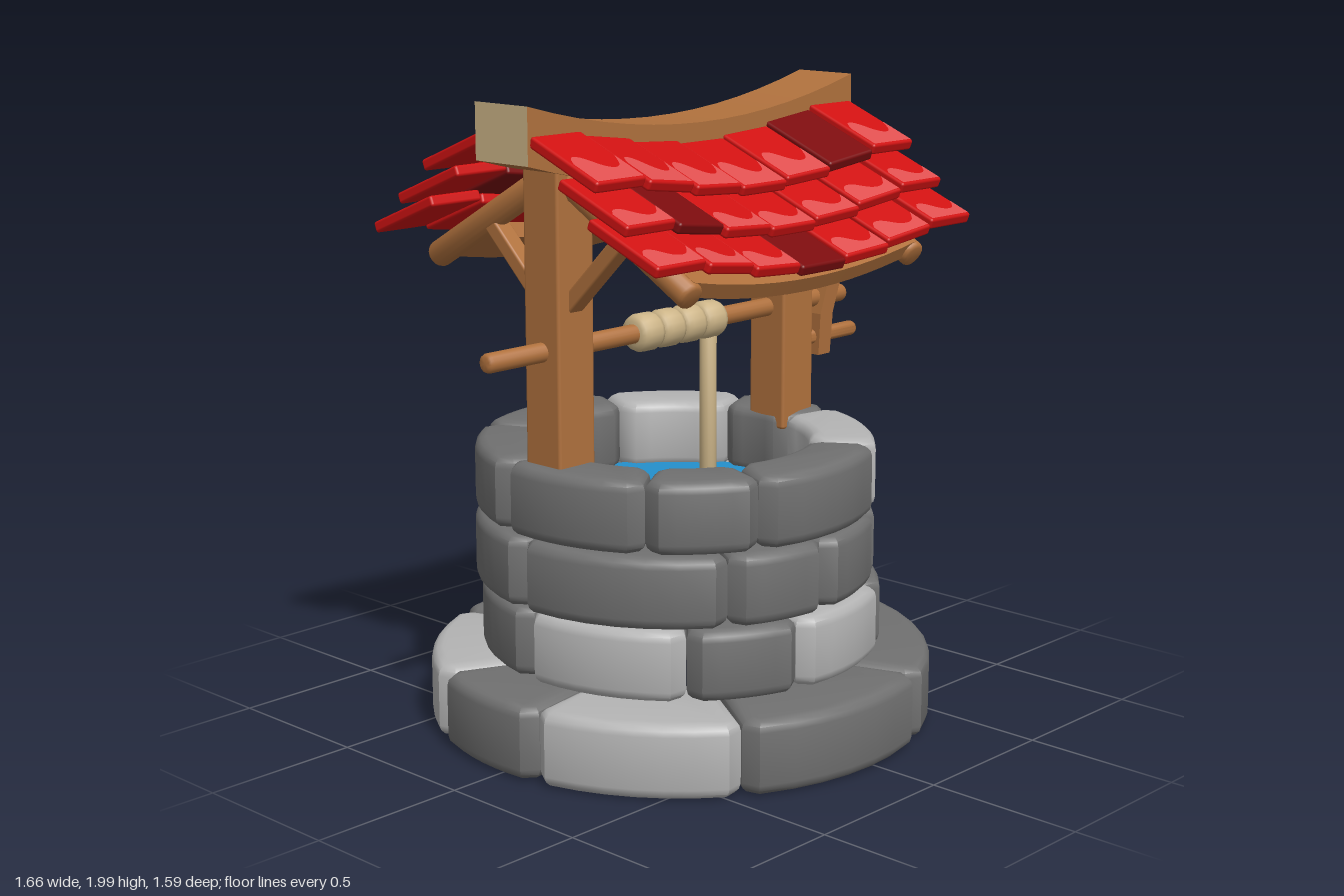
import * as THREE from 'three';
import { toCreasedNormals } from 'three/addons/utils/BufferGeometryUtils.js';
import { RoundedBoxGeometry } from 'three/addons/geometries/RoundedBoxGeometry.js';

const CX = -0.033, CZ = -0.02;

function material(name, color) {
  const m = new THREE.MeshStandardMaterial({ color });
  m.name = name;
  return m;
}
const M = {
  stone: material('darkStone', 0x707070),
  pale: material('paleStone', 0xb4b4b4),
  wood: material('wood', 0xb0713d),
  rope: material('rope', 0xcdb588),
  red: material('redTile', 0xd01212),
  pink: material('faded red', 0xe05050),
  dark: material('darkRedTile', 0x7c0c0e),
  water: material('water', 0x2490cc),
};

function add(parent, name, geo, mat, x = 0, y = 0, z = 0) {
  const mesh = new THREE.Mesh(geo, mat);
  mesh.name = name;
  mesh.position.set(x, y, z);
  parent.add(mesh);
  return mesh;
}

// Rounded-edge stone filling a ring sector; angles in degrees, 0 = front, 90 = +x
function stoneGeometry(a, b, ri, ro, h) {
  const bevel = 0.035, rad = Math.PI / 180;
  const R = ro - bevel, r = ri + bevel;
  const at = (rr, t) => new THREE.Vector2(rr * Math.sin(t), -rr * Math.cos(t));
  const A = a * rad, B = b * rad, pts = [], n = 6;
  const gapO = (bevel + 0.002) / R, gapI = (bevel + 0.002) / r, round = 0.02;
  for (let i = 0; i <= n; i++) {
    pts.push(at(R, THREE.MathUtils.lerp(A + gapO + round / R, B - gapO - round / R, i / n)));
  }
  pts.push(at(R - round, B - gapO));
  pts.push(at(r + round, B - gapI));
  for (let i = 0; i <= n; i++) {
    pts.push(at(r, THREE.MathUtils.lerp(B - gapI - round / r, A + gapI + round / r, i / n)));
  }
  pts.push(at(r + round, A + gapI));
  pts.push(at(R - round, A + gapO));
  const geo = new THREE.ExtrudeGeometry(new THREE.Shape(pts), {
    depth: h - 2 * bevel, bevelThickness: bevel, bevelSize: bevel, bevelSegments: 3, steps: 1,
  });
  geo.rotateX(-Math.PI / 2).translate(0, bevel, 0);
  return toCreasedNormals(geo, 0.75);
}

// Round log with softened ends, along y
function logGeometry(r, len, e = 0.012) {
  const h = len / 2;
  const pts = [[0, -h], [r - e, -h], [r - e * 0.3, -h + e * 0.3], [r, -h + e],
    [r, h - e], [r - e * 0.3, h - e * 0.3], [r - e, h], [0, h]];
  return toCreasedNormals(new THREE.LatheGeometry(pts.map(p => new THREE.Vector2(...p)), 16), 0.85);
}

function logBetween(parent, name, p, q, r, mat = M.wood) {
  const a = new THREE.Vector3(...p), b = new THREE.Vector3(...q);
  const mesh = add(parent, name, logGeometry(r, a.distanceTo(b)), mat);
  mesh.position.copy(a).add(b).multiplyScalar(0.5);
  mesh.quaternion.setFromUnitVectors(new THREE.Vector3(0, 1, 0), b.sub(a).normalize());
  return mesh;
}

// Box along x whose ends rise in a parabola
function saggingBeam(w, h, d, sag, tilt = 0) {
  const geo = new THREE.BoxGeometry(w, h, d, 14, 1, 1).rotateX(tilt);
  const p = geo.attributes.position;
  for (let i = 0; i < p.count; i++) {
    const s = p.getX(i) / (w / 2);
    p.setY(i, p.getY(i) + sag * s * s);
  }
  geo.computeVertexNormals();
  return geo;
}

// Faded lower part of a tile, with a wavy upper edge
function fadeGeometry(w, d) {
  const s = new THREE.Shape();
  s.moveTo(-w / 2, 0.008);
  s.lineTo(w / 2, 0.008);
  s.lineTo(w / 2, d * 0.95);
  s.splineThru([[0.36, 0.6], [0.2, 0.5], [0.02, 0.62], [-0.2, 1], [-0.38, 1.05], [-0.5, 0.8]]
    .map(([x, y]) => new THREE.Vector2(x * w, y * d)));
  return new THREE.ShapeGeometry(s, 4).rotateX(-Math.PI / 2);
}

// One roof slope facing +z, including its rafters, braces and eave plank
function roofSlope(flip) {
  const g = new THREE.Group();
  g.name = flip ? 'backRoofSlope' : 'frontRoofSlope';
  const rows = [ // lower edge z, y; darkened column; fade depth
    { z: 0.36, y: 1.775, dark: 5, fade: 0.14 },
    { z: 0.476, y: 1.665, dark: 1, fade: 0.09 },
    { z: 0.592, y: 1.565, dark: 3, fade: 0.09 },
  ];
  const drop = [0.07, 0.055, 0.025, 0], W = 0.2014, L = 0.29, T = 0.035;
  const tileGeo = new RoundedBoxGeometry(W - 0.005, T, L, 2, 0.009).translate(0, T / 2, -L / 2);
  for (const row of rows) {
    const fadeGeo = fadeGeometry(W - 0.022, row.fade);
    for (let c = 0; c < 7; c++) {
      const k = c - 3, dark = c === (flip ? 6 - row.dark : row.dark);
      const tile = new THREE.Group();
      tile.name = 'roofTile';
      tile.position.set(k * W, row.y - drop[Math.abs(k)], row.z);
      tile.rotation.set(0.385, 0, Math.abs(k) === 3 ? 0 : k * 0.07);
      add(tile, 'tileBody', tileGeo, dark ? M.dark : M.red);
      if (!dark) add(tile, 'tileFade', fadeGeo, M.pink, 0, T + 0.0015, 0);
      g.add(tile);
    }
  }
  for (const x of [-0.5, 0.5]) {
    logBetween(g, 'rafter', [x, 1.48, 0.54], [x, 1.79, 0.0], 0.042);
    const brace = add(g, 'brace', new RoundedBoxGeometry(0.06, 0.36, 0.05, 2, 0.008), M.wood, x, 1.51, 0.17);
    brace.rotation.x = 0.8;
  }
  add(g, 'eavePlank', saggingBeam(1.0, 0.05, 0.17, 0.05, 0.5), M.wood, 0, 1.495, 0.46);
  g.position.set(CX, 0, CZ);
  if (flip) g.rotation.y = Math.PI;
  return g;
}

export function createModel() {
  const well = new THREE.Group();
  well.name = 'well';

  // Stone courses: seam angles, and which stones are pale
  const courses = [
    { y: 0.008, h: 0.232, r: 0.795, x: -0.033, z: 0, seams: [-33, 20, 78, 109, 147, 200, 246, 280], pale: [5, 7] },
    { y: 0.243, h: 0.222, r: 0.632, x: -0.024, z: -0.007, seams: [-45, -11, 32, 87, 142, 177, 212, 265], pale: [1, 7] },
    { y: 0.467, h: 0.223, r: 0.629, x: -0.042, z: -0.018, seams: [-31, 1, 35, 92, 136, 172, 212, 265], pale: [3, 5] },
    { y: 0.692, h: 0.224, r: 0.63, x: -0.032, z: -0.024, seams: [-55, -22, 32, 79, 112, 157, 210, 258], pale: [2, 4] },
  ];
  courses.forEach((c, n) => {
    const ring = new THREE.Group();
    ring.name = 'stoneCourse' + (n + 1);
    ring.position.set(c.x, c.y, c.z);
    c.seams.forEach((a, i) => {
      const b = i + 1 < c.seams.length ? c.seams[i + 1] : c.seams[0] + 360;
      add(ring, 'stone', stoneGeometry(a, b, 0.42, c.r, c.h), c.pale.includes(i) ? M.pale : M.stone);
    });
    well.add(ring);
  });
  add(well, 'water', new THREE.CircleGeometry(0.46, 32).rotateX(-Math.PI / 2), M.water, CX, 0.71, CZ);

  // Posts and ridge beam with pale cut ends
  for (const s of [-1, 1]) {
    add(well, 'post', new RoundedBoxGeometry(0.147, 0.96, 0.147, 2, 0.01), M.wood, CX + s * 0.5, 1.34, CZ);
  }
  add(well, 'ridgeBeam', saggingBeam(1.425, 0.17, 0.22, 0.1),
    [M.rope, M.rope, M.wood, M.wood, M.wood, M.wood], CX, 1.815, CZ - 0.006);
  well.add(roofSlope(false), roofSlope(true));

  // Windlass: axle, rope coils and hanging rope
  logBetween(well, 'axle', [-0.83, 1.26, CZ], [0.77, 1.26, CZ], 0.03);
  for (let i = 0; i < 4; i++) {
    const x = -0.176 + i * 0.095;
    const coil = add(well, 'ropeCoil', logGeometry(0.06, 0.094, 0.022), M.rope, x, 1.26, CZ);
    coil.rotation.z = Math.PI / 2;
  }
  logBetween(well, 'hangingRope', [0.115, 0.68, CZ], [0.115, 1.25, CZ], 0.027, M.rope);

  // Crank arm, wider at the top, and its handle
  const arm = new THREE.Shape([[0.645, 1.34], [0.613, 1.21], [0.618, 1.07], [0.676, 1.07],
    [0.676, 1.21], [0.708, 1.34]].map(p => new THREE.Vector2(...p)));
  const armGeo = new THREE.ExtrudeGeometry(arm, { depth: 1, bevelEnabled: false }).translate(0, 0, -0.5);
  const p = armGeo.attributes.position;
  for (let i = 0; i < p.count; i++) {
    p.setZ(i, p.getZ(i) * THREE.MathUtils.mapLinear(p.getY(i), 1.07, 1.34, 0.065, 0.108));
  }
  armGeo.computeVertexNormals();
  add(well, 'crankArm', armGeo, M.wood, 0, 0, CZ);
  logBetween(well, 'crankHandle', [0.57, 1.13, CZ], [0.83, 1.13, CZ], 0.025);

  return well;
}
